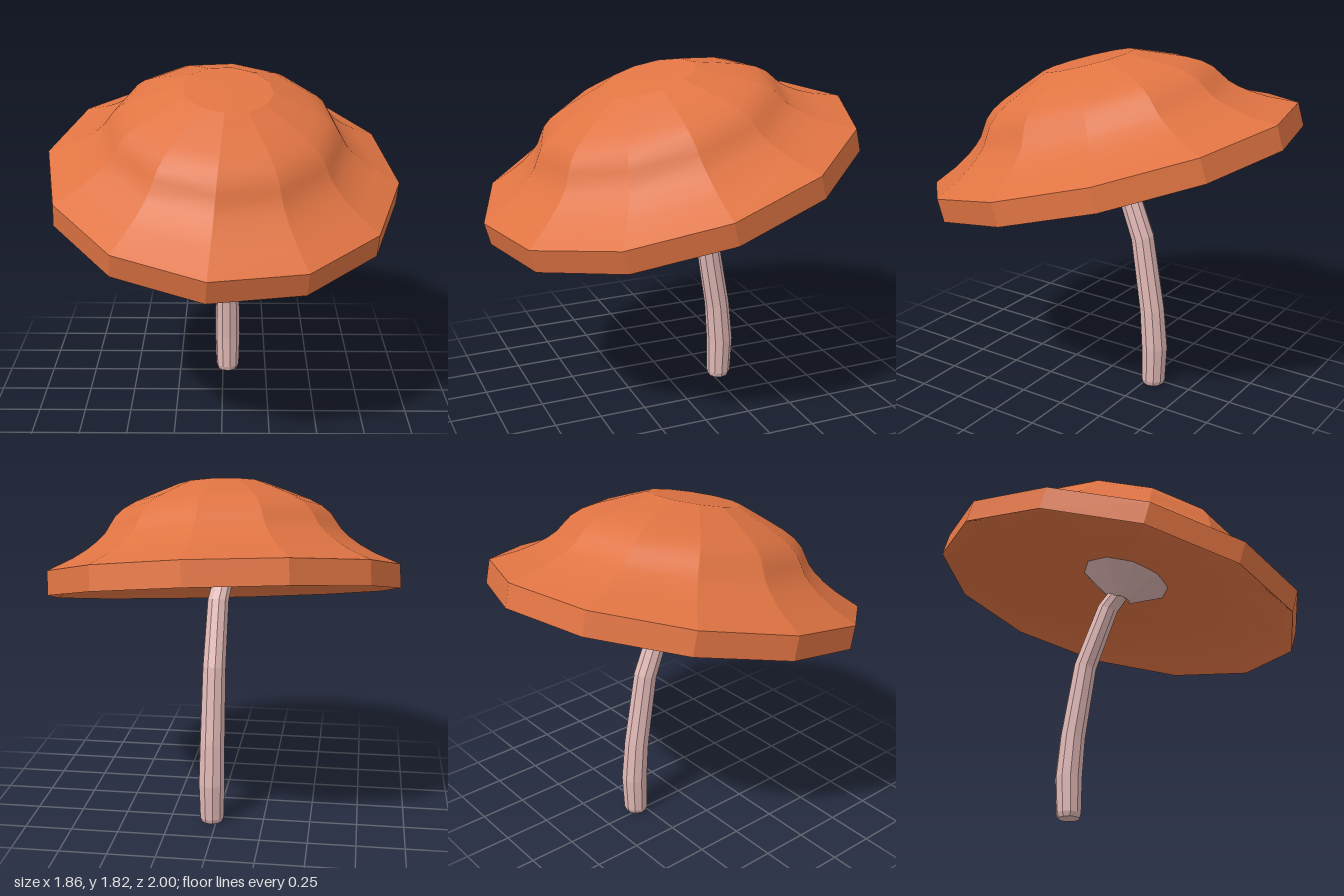
import * as THREE from 'three';

const ORANGE = new THREE.MeshStandardMaterial({ color: 0xe07443 });
const PINK = new THREE.MeshStandardMaterial({ color: 0xe0b8b5, flatShading: true });

// Skins a run of rings. Each side is its own strip, so it is smooth
// along the profile and creased between neighbouring sides.
function loft(rings, sides, phase) {
  const pos = [], index = [];
  for (let i = 0; i < sides; i++) {
    rings.forEach((ring, k) => {
      for (const j of [i, i + 1]) {
        const a = phase + (j % sides) / sides * Math.PI * 2;
        const p = new THREE.Vector3(Math.cos(a) * ring.rx, 0, Math.sin(a) * ring.rz)
          .applyAxisAngle(new THREE.Vector3(1, 0, 0), ring.tilt || 0)
          .add(ring.center);
        pos.push(p.x, p.y, p.z);
      }
      if (k > 0) {
        const c = (i * rings.length + k) * 2, a = c - 2;
        index.push(a, c, a + 1, a + 1, c, c + 1);
      }
    });
  }
  const geo = new THREE.BufferGeometry();
  geo.setAttribute('position', new THREE.Float32BufferAttribute(pos, 3));
  geo.setIndex(index);
  geo.computeVertexNormals();
  return geo;
}

function addMesh(parent, name, geo, material) {
  const mesh = new THREE.Mesh(geo, material);
  mesh.name = name;
  parent.add(mesh);
  return mesh;
}

// Upright rings from [radius, height] pairs, stretched to an ellipse
const profile = (pairs, rx = 1, rz = 1) => pairs.map(([r, h]) => ({
  center: new THREE.Vector3(0, h, 0), rx: r * rx, rz: r * rz,
}));

export function createModel() {
  const model = new THREE.Group();
  model.name = 'mushroom';

  // Cap, leaning towards the front
  const cap = new THREE.Group();
  cap.name = 'cap';
  cap.position.set(0.002, 1.315, 0.012);
  cap.quaternion.setFromUnitVectors(
    new THREE.Vector3(0, 1, 0), new THREE.Vector3(0.06, 1, 0.27).normalize());
  model.add(cap);

  const SIDES = 12, PHASE = 0.061, RX = 0.93, RZ = 1.022;
  const capPart = (name, pairs) =>
    addMesh(cap, name, loft(profile(pairs, RX, RZ), SIDES, PHASE), ORANGE);

  capPart('capDome', [[1, 0], [0.86, 0.062], [0.78, 0.108], [0.72, 0.152], [0.68, 0.19],
    [0.65, 0.235], [0.62, 0.278], [0.57, 0.32], [0.5, 0.357], [0.38, 0.405], [0.25, 0.455]]);
  capPart('capTop', [[0.25, 0.455], [0, 0.46]]);
  capPart('capRim', [[1, -0.124], [1, 0]]);
  // Shallow hollow underneath, steepest next to the rim
  capPart('capUnderside', [[0, 0.035], [0.24, 0.03], [0.55, 0.01], [0.86, -0.035], [1, -0.124]]);

  // Flared collar joining the stem to the underside of the cap
  addMesh(cap, 'stemCollar', loft(profile([[0.055, -0.1], [0.245, 0.03]]), 10, 0.1), PINK)
    .position.set(0.015, 0, 0.012);

  // Curved stem: x, y, z, radius, tilt
  const stem = [
    [0.027, 0, -0.29, 0, 0],
    [0.027, 0, -0.29, 0.057, 0],
    [0.027, 0.025, -0.291, 0.066, 0],
    [0.027, 0.22, -0.295, 0.072, 0],
    [0.026, 0.44, -0.276, 0.068, 0.12],
    [0.024, 0.84, -0.21, 0.063, 0.26],
    [0.02, 1.17, -0.08, 0.058, 0.38],
    [0.01, 1.235, -0.02, 0.056, 0.32],
  ].map(([x, y, z, r, tilt]) => ({ center: new THREE.Vector3(x, y, z), rx: r, rz: r, tilt }));
  addMesh(model, 'stem', loft(stem, 10, 0.1), PINK);

  return model;
}
